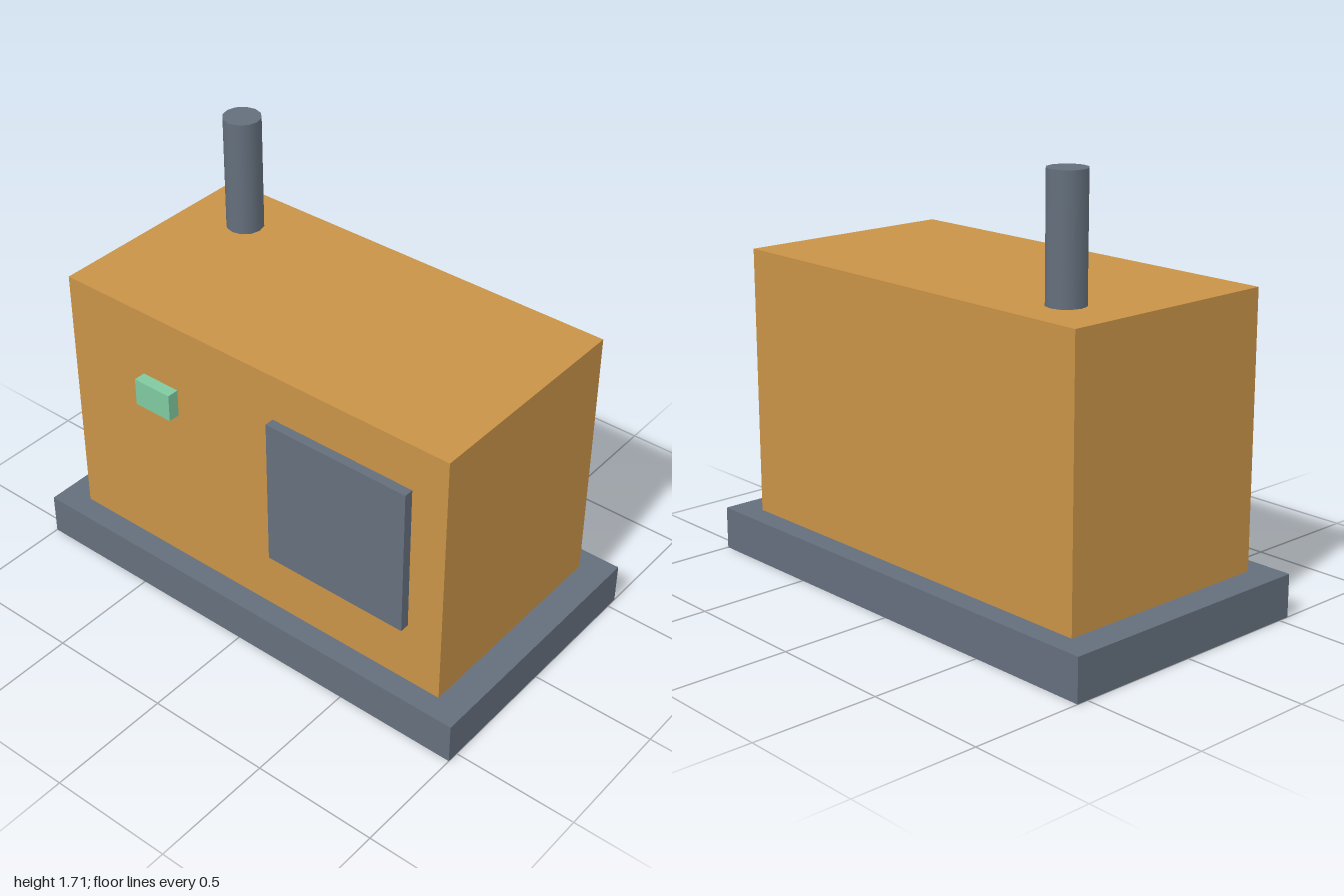
import * as THREE from 'three';

const material = (name, color) => {
  const m = new THREE.MeshStandardMaterial({ color });
  m.name = name;
  return m;
};

export function createModel() {
  const group = new THREE.Group();
  group.name = 'generator';
  const steel = material('slate steel', 0x646f7c);
  const housingPaint = material('ochre housing', 0xc89348);
  const lampGreen = material('mint green', 0x80c9a0);

  const add = (name, geometry, mat, x, y, z) => {
    const mesh = new THREE.Mesh(geometry, mat);
    mesh.name = name;
    mesh.position.set(x, y, z);
    group.add(mesh);
  };

  // Box given by its lower and upper corners
  const box = (name, mat, [x0, y0, z0], [x1, y1, z1]) =>
    add(name, new THREE.BoxGeometry(x1 - x0, y1 - y0, z1 - z0), mat,
      (x0 + x1) / 2, (y0 + y1) / 2, (z0 + z1) / 2);

  // Plinth and housing
  box('basePlate', steel, [-1, 0, -0.547], [1, 0.17, 0.547]);
  box('housing', housingPaint, [-0.88, 0.17, -0.457], [0.88, 1.24, 0.457]);

  // Front panel and indicator
  box('frontPanel', steel, [0.117, 0.436, 0.43], [0.733, 1.052, 0.495]);
  box('indicator', lampGreen, [-0.515, 0.85, 0.43], [-0.346, 0.963, 0.505]);

  // Exhaust pipe on the roof
  add('exhaustPipe', new THREE.CylinderGeometry(0.075, 0.075, 0.49, 12), steel, -0.62, 1.465, -0.24);

  return group;
}
